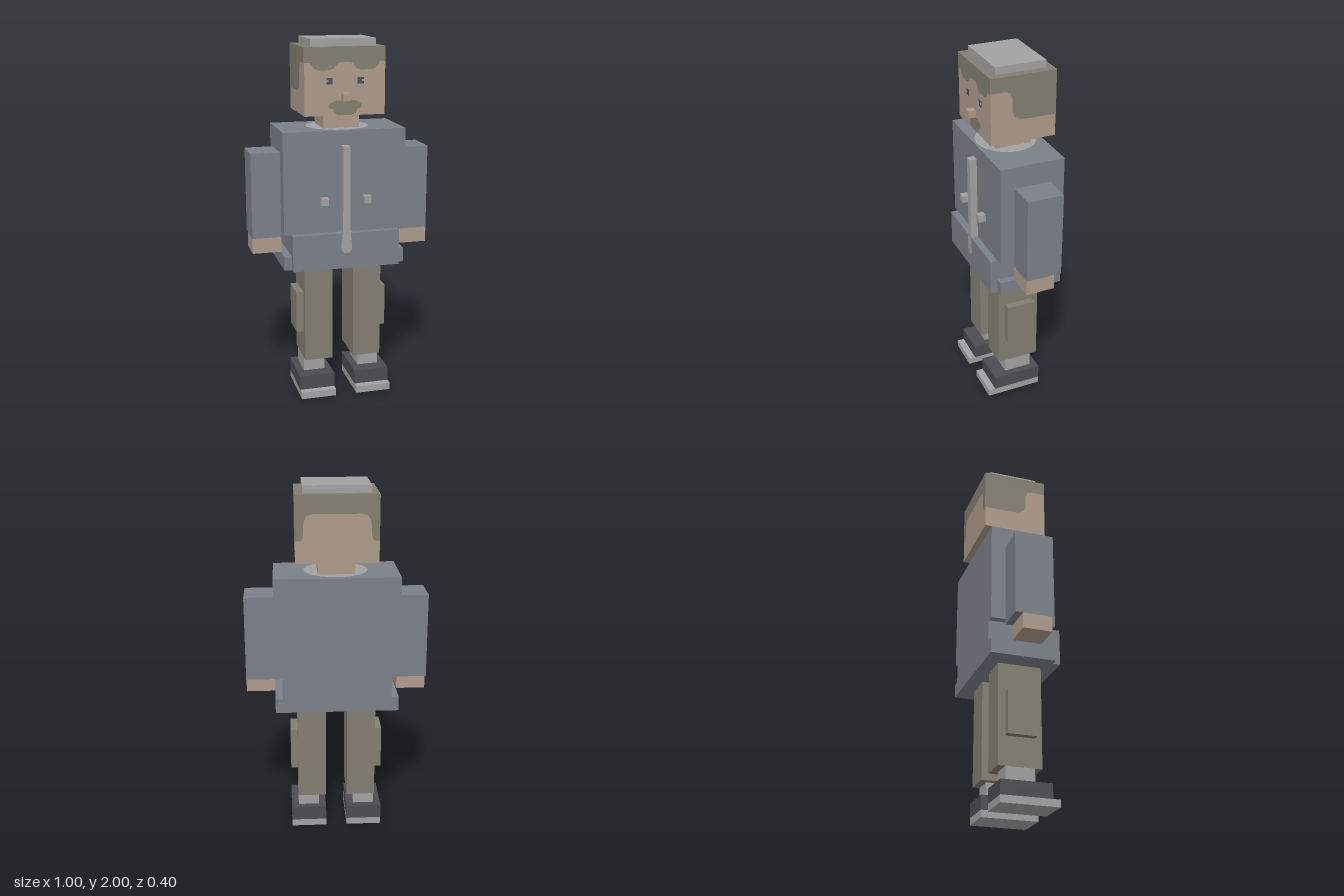
import * as THREE from 'three';

export function createModel() {
  const model = new THREE.Group();
  model.name = 'blockFigure';

  const mat = (name, color) => {
    const m = new THREE.MeshStandardMaterial({ color });
    m.name = name;
    return m;
  };
  const jacket = mat('jacketBlueGrey', 0x7a8088);
  const skin = mat('skin', 0xad9a8a);
  const olive = mat('oliveBrown', 0x817f71);
  const grey = mat('lightGrey', 0xa1a1a1);
  const dark = mat('shoeCharcoal', 0x4c4b50);
  const eyeDark = mat('eyeSlate', 0x4b525c);

  // Box given by its minimum and maximum on each axis
  function box(name, material, [x0, x1], [y0, y1], [z0, z1], parent = model) {
    const mesh = new THREE.Mesh(new THREE.BoxGeometry(x1 - x0, y1 - y0, z1 - z0), material);
    mesh.position.set((x0 + x1) / 2, (y0 + y1) / 2, (z0 + z1) / 2);
    mesh.name = name;
    parent.add(mesh);
    return mesh;
  }

  // Flat painted outline; local x and y are the outline's axes
  function paint(name, material, points, position, rotation = [0, 0, 0]) {
    const shape = new THREE.Shape(points.map(([x, y]) => new THREE.Vector2(x, y)));
    const mesh = new THREE.Mesh(new THREE.ShapeGeometry(shape), material);
    mesh.position.set(...position);
    mesh.rotation.set(...rotation);
    mesh.name = name;
    model.add(mesh);
    return mesh;
  }
  const rect = (x0, x1, y0, y1) => [[x0, y0], [x1, y0], [x1, y1], [x0, y1]];
  const GAP = 0.002;

  // Head, with hair-coloured top face
  box('head', [skin, skin, olive, skin, skin, skin], [-0.22, 0.22], [1.6, 1.96], [-0.2, 0.16]);
  box('capTop', grey, [-0.18, 0.18], [1.96, 2], [-0.16, 0.12]);
  box('neck', skin, [-0.1, 0.1], [1.52, 1.6], [-0.12, 0.08]);
  box('nose', skin, [-0.02, 0.02], [1.68, 1.72], [0.16, 0.2]);

  // Hair painted on the four sides of the head
  paint('frontHair', olive, [
    [-0.22, 1.96], [-0.22, 1.88], [-0.19, 1.88], [-0.17, 1.85], [-0.15, 1.84], [-0.08, 1.84],
    [-0.06, 1.85], [-0.04, 1.875], [-0.02, 1.88], [0.02, 1.88], [0.04, 1.875], [0.06, 1.85],
    [0.08, 1.84], [0.15, 1.84], [0.17, 1.85], [0.19, 1.88], [0.22, 1.88], [0.22, 1.96],
  ], [0, 0, 0.16 + GAP]);
  paint('backHair', olive, [
    [-0.22, 1.96], [-0.22, 1.72], [-0.19, 1.72], [-0.18, 1.74], [-0.175, 1.82], [-0.16, 1.85],
    [-0.13, 1.86], [0.13, 1.86], [0.16, 1.85], [0.175, 1.82], [0.18, 1.74], [0.19, 1.72],
    [0.22, 1.72], [0.22, 1.96],
  ], [0, 0, -0.2 - GAP], [0, Math.PI, 0]);
  const sideHair = [
    [0.16, 1.96], [0.16, 1.88], [0.08, 1.88], [0.055, 1.87], [0.042, 1.84], [0.042, 1.77],
    [0.03, 1.74], [0, 1.725], [-0.05, 1.72], [-0.2, 1.72], [-0.2, 1.96],
  ];
  for (const s of [1, -1]) {
    paint('sideHair', olive, sideHair.map(([z, y]) => [-s * z, y]),
      [s * (0.22 + GAP), 0, 0], [0, s * Math.PI / 2, 0]);
  }

  // Beard and eyes
  paint('beard', olive, [
    [-0.05, 1.68], [-0.075, 1.67], [-0.09, 1.655], [-0.09, 1.64], [-0.065, 1.635], [-0.06, 1.615],
    [-0.04, 1.602], [0.04, 1.602], [0.06, 1.615], [0.065, 1.635], [0.09, 1.64], [0.09, 1.655],
    [0.075, 1.67], [0.05, 1.68],
  ], [0, 0, 0.16 + GAP]);
  for (const s of [1, -1]) {
    paint('eye', eyeDark, rect(-0.017, 0.017, 1.765, 1.8), [s * 0.085, 0, 0.16 + GAP]);
    paint('eyeGlint', grey, rect(-0.005, 0.005, 1.778, 1.79), [s * 0.096, 0, 0.16 + 2 * GAP]);
  }

  // Jacket body and hem, with the collar painted around the neck
  box('jacketBody', jacket, [-0.34, 0.34], [0.96, 1.52], [-0.2, 0.16]);
  box('jacketHem', jacket, [-0.3, 0.3], [0.76, 0.96], [-0.2, 0.2]);
  const collar = Array.from({ length: 24 }, (_, i) => {
    const a = (i / 24) * Math.PI * 2;
    return [0.175 * Math.cos(a), 0.165 * Math.sin(a)];
  });
  paint('collar', grey, collar, [0, 1.52 + GAP, -0.015], [-Math.PI / 2, 0, 0]);

  // Front strip ending in a painted tip on the hem
  box('frontStrip', grey, [-0.02, 0.02], [0.96, 1.44], [0.16, 0.2]);
  paint('stripTip', grey, [
    [-0.022, 0.96], [-0.03, 0.9], [-0.03, 0.865], [-0.012, 0.847], [0.012, 0.847],
    [0.03, 0.865], [0.03, 0.9], [0.022, 0.96],
  ], [0, 0, 0.2 + GAP]);

  // Paired parts
  for (const s of [1, -1]) {
    const side = new THREE.Group();
    side.name = s > 0 ? 'leftSide' : 'rightSide';
    model.add(side);
    const pair = (name, material, [x0, x1], y, z) =>
      box(name, material, s > 0 ? [x0, x1] : [-x1, -x0], y, z, side);
    pair('button', grey, [0.1, 0.14], [1.12, 1.16], [0.16, 0.2]);
    pair('hemSide', jacket, [0.3, 0.34], [0.76, 0.84], [-0.2, 0.16]);
    pair('sleeve', jacket, [0.34, 0.5], [0.93, 1.4], [-0.12, 0.08]);
    pair('hand', skin, [0.34, 0.5], [0.845, 0.93], [-0.08, 0.08]);
    pair('trouserLeg', olive, [0.06, 0.22], [0.2, 0.76], [-0.12, 0.12]);
    pair('legPocket', olive, [0.22, 0.26], [0.36, 0.6], [-0.08, 0.08]);
    pair('sock', grey, [0.1, 0.22], [0.12, 0.2], [-0.08, 0.08]);
    pair('shoe', dark, [0.06, 0.26], [0.04, 0.12], [-0.12, 0.16]);
    pair('sole', grey, [0.06, 0.26], [0, 0.04], [-0.12, 0.2]);
  }

  return model;
}
